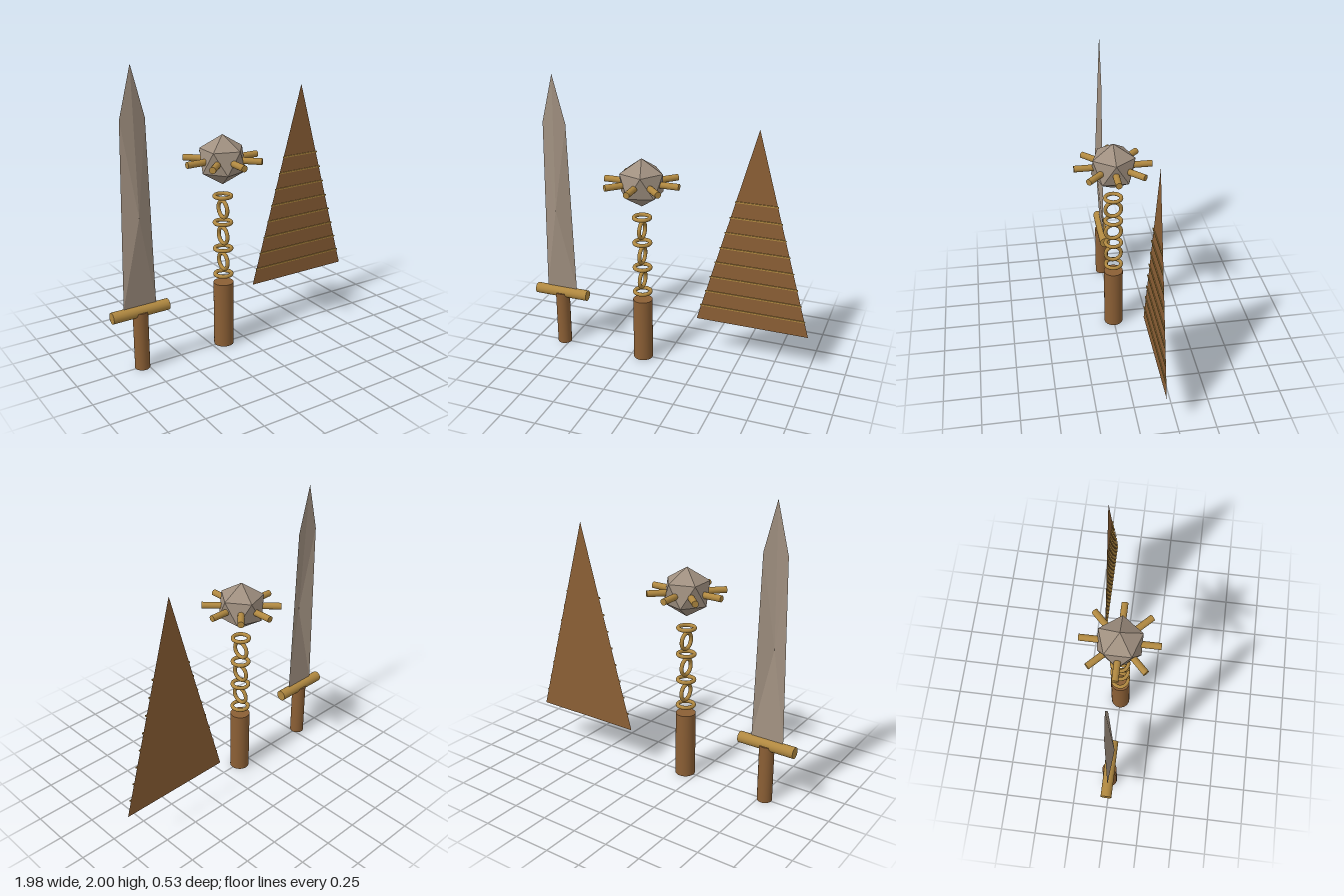
import * as THREE from 'three';
import { ConvexGeometry } from 'three/addons/geometries/ConvexGeometry.js';

const material = (name, color, side = THREE.FrontSide) => {
  const m = new THREE.MeshStandardMaterial({ color, side });
  m.name = name;
  return m;
};

export function createModel() {
  const model = new THREE.Group();
  const wood = material('brown wood', 0x8b5f35, THREE.DoubleSide);
  const brass = material('brass', 0xb08840);
  const steel = material('warm grey steel', 0xa09080, THREE.DoubleSide);

  const add = (parent, name, geometry, mat, x = 0, y = 0, z = 0) => {
    const mesh = new THREE.Mesh(geometry, mat);
    mesh.name = name;
    mesh.position.set(x, y, z);
    parent.add(mesh);
    return mesh;
  };
  const group = (name, x, z = 0) => {
    const g = new THREE.Group();
    g.name = name;
    g.position.set(x, 0, z);
    model.add(g);
    return g;
  };

  // Sword: round grip, round crossguard, folded sheet blade
  const sword = group('sword', -0.79);
  add(sword, 'swordGrip', new THREE.CylinderGeometry(0.05, 0.05, 0.405, 24), wood, 0, 0.2025);
  add(sword, 'crossguard', new THREE.CylinderGeometry(0.038, 0.038, 0.4, 24).rotateZ(Math.PI / 2),
    brass, 0, 0.405);

  // Blade facets fan out from a raised point in the middle
  const outline = [[-0.115, 0.443], [0.115, 0.443], [0.085, 1.67], [0, 2], [-0.085, 1.67]];
  const facets = [];
  outline.forEach(([x, y], i) => {
    const [nx, ny] = outline[(i + 1) % outline.length];
    facets.push(0, 1.05, 0.042, x, y, 0, nx, ny, 0);
  });
  const blade = new THREE.BufferGeometry();
  blade.setAttribute('position', new THREE.Float32BufferAttribute(facets, 3));
  blade.computeVertexNormals();
  add(sword, 'blade', blade, steel);

  // Flail: handle, chain of alternating links, spiked head
  const flail = group('flail', -0.16);
  add(flail, 'flailHandle', new THREE.CylinderGeometry(0.068, 0.068, 0.46, 32), wood, 0, 0.23);
  const link = new THREE.TorusGeometry(0.0555, 0.0135, 12, 32);
  for (let i = 0; i < 7; i++) {
    const ring = add(flail, 'chainLink', link, brass, 0, 0.52 + i * 0.0925);
    if (i % 2) ring.rotation.y = Math.PI / 2;
    else ring.rotation.x = Math.PI / 2;
  }

  // Twenty-sided head standing on one corner
  const r = 0.168;
  const corners = [new THREE.Vector3(0, r, 0), new THREE.Vector3(0, -r, 0)];
  for (let i = 0; i < 5; i++) {
    const a = (i * 2 * Math.PI) / 5;
    const p = new THREE.Vector3(2 * Math.cos(a), 1, 2 * Math.sin(a)).multiplyScalar(r / Math.sqrt(5));
    corners.push(p, p.clone().negate());
  }
  add(flail, 'flailHead', new ConvexGeometry(corners), steel, 0, 1.324);

  // Ring of blunt studs
  const stud = new THREE.CylinderGeometry(0.022, 0.022, 0.165, 16).rotateZ(Math.PI / 2).translate(0.1815, 0, 0);
  for (let i = 0; i < 8; i++) {
    add(flail, 'stud', stud, brass, 0, 1.324).rotation.y = (i * Math.PI) / 4;
  }

  // Shield: thin triangular sheet with horizontal bands
  const shield = group('shield', 0.587, -0.162);
  const base = 0.29, top = 1.717, half = 0.4;
  const triangle = new THREE.Shape([
    new THREE.Vector2(-half, base), new THREE.Vector2(half, base), new THREE.Vector2(0, top),
  ]);
  add(shield, 'shieldPanel', new THREE.ShapeGeometry(triangle), wood);
  for (let i = 0; i < 8; i++) {
    const y = 0.405 + i * 0.115;
    const width = 2 * (half * (top - y) / (top - base) + 0.006);
    add(shield, 'shieldBand', new THREE.BoxGeometry(width, 0.01, 0.006), brass, 0, y, 0.004);
  }
  return model;
}
